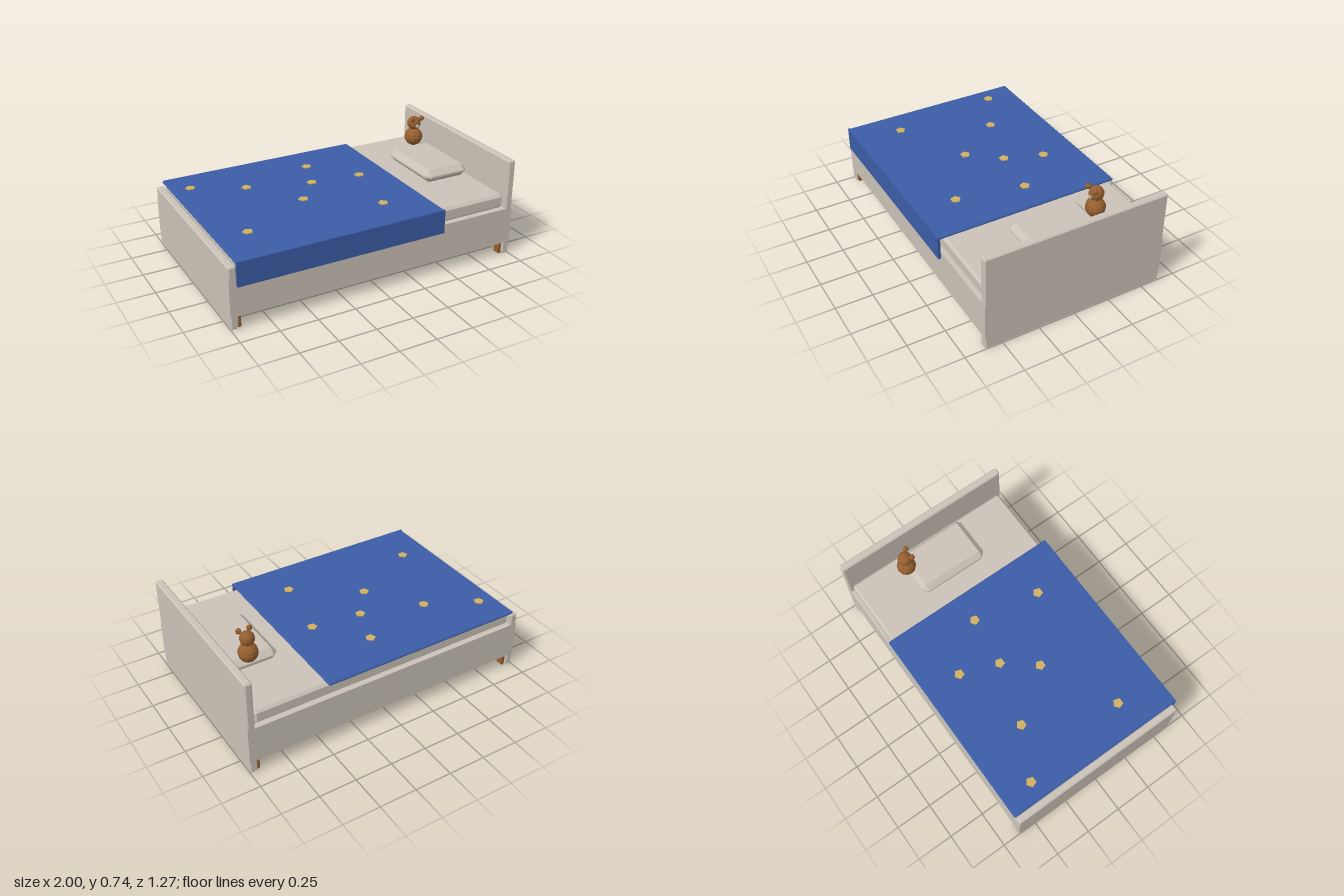
import * as THREE from 'three';
import { ConvexGeometry } from 'three/addons/geometries/ConvexGeometry.js';

const paint = (name, color) => {
  const m = new THREE.MeshStandardMaterial({ color });
  m.name = name;
  return m;
};

// Box given by its min and max corners, with every edge chamfered by b
function chamferBox([x0, y0, z0], [x1, y1, z1], b) {
  const points = [];
  for (const [x, sx] of [[x0, 1], [x1, -1]])
    for (const [y, sy] of [[y0, 1], [y1, -1]])
      for (const [z, sz] of [[z0, 1], [z1, -1]]) {
        points.push(new THREE.Vector3(x, y + sy * b, z + sz * b));
        points.push(new THREE.Vector3(x + sx * b, y, z + sz * b));
        points.push(new THREE.Vector3(x + sx * b, y + sy * b, z));
      }
  return new ConvexGeometry(points);
}

function plainBox([x0, y0, z0], [x1, y1, z1]) {
  return new THREE.BoxGeometry(x1 - x0, y1 - y0, z1 - z0)
    .translate((x0 + x1) / 2, (y0 + y1) / 2, (z0 + z1) / 2);
}

// Low-poly ball with flat facets
function facetedBall(r, around, down) {
  const g = new THREE.SphereGeometry(r, around, down).toNonIndexed();
  g.computeVertexNormals();
  return g;
}

export function createModel() {
  const bed = new THREE.Group();
  bed.name = 'bed';

  const cream = paint('cream', 0xcbc3b8);
  const blue = paint('blue', 0x3b5ca6);
  const gold = paint('gold', 0xd2b062);
  const brown = paint('brown', 0x965f2f);
  const grey = paint('lightGrey', 0xb4b0ac);

  const add = (parent, name, geometry, material, x = 0, y = 0, z = 0) => {
    const mesh = new THREE.Mesh(geometry, material);
    mesh.name = name;
    mesh.position.set(x, y, z);
    parent.add(mesh);
    return mesh;
  };

  // Frame and end boards
  add(bed, 'frame', plainBox([-1, 0.085, -0.629], [1, 0.335, 0.617]), cream);
  add(bed, 'footboard', chamferBox([-1, 0, -0.629], [-0.95, 0.415, 0.617], 0.008), cream);
  add(bed, 'headboard', chamferBox([0.95, 0, -0.629], [1, 0.67, 0.617], 0.008), cream);

  // Legs tucked behind the end boards
  for (const x of [-0.955, 0.955])
    for (const z of [-0.59, 0.578])
      add(bed, 'leg', new THREE.BoxGeometry(0.05, 0.085, 0.05), brown, x, 0.0455, z);

  // Bedding
  add(bed, 'mattress', chamferBox([-0.945, 0.337, -0.608], [0.942, 0.432, 0.594], 0.016), cream);
  add(bed, 'pillow', chamferBox([0.583, 0.435, -0.255], [0.913, 0.52, 0.24], 0.036), cream);
  add(bed, 'blanketTop', chamferBox([-0.955, 0.428, -0.636], [0.455, 0.45, 0.632], 0.008), blue);
  add(bed, 'blanketDrape', plainBox([-0.955, 0.288, 0.62], [0.455, 0.449, 0.637]), blue);

  // Five-sided spots on the blanket
  const spots = [[-0.835, -0.425], [-0.505, -0.26], [0, -0.385], [-0.09, -0.13],
    [0.25, -0.09], [-0.255, 0.075], [-0.75, 0.325], [0.165, 0.365]];
  const spotGeometry = new THREE.CylinderGeometry(0.034, 0.034, 0.008, 5).rotateY(Math.PI).toNonIndexed();
  spotGeometry.computeVertexNormals();
  for (const [x, z] of spots) add(bed, 'blanketSpot', spotGeometry, gold, x, 0.452, z);

  // Toy bear sitting on the pillow
  const bear = new THREE.Group();
  bear.name = 'toyBear';
  bear.position.set(0.788, 0, -0.256);
  bed.add(bear);
  add(bear, 'bearBody', facetedBall(0.064, 12, 8), brown, 0, 0.577, 0);
  add(bear, 'bearHead', facetedBall(0.048, 12, 8), brown, 0, 0.677, 0);
  for (const side of [-1, 1])
    add(bear, 'bearEar', facetedBall(0.019, 8, 6), brown, side * 0.036, 0.718, 0.037);
  add(bear, 'bearMuzzle', facetedBall(0.015, 8, 6), grey, 0, 0.665, 0.041);

  return bed;
}
